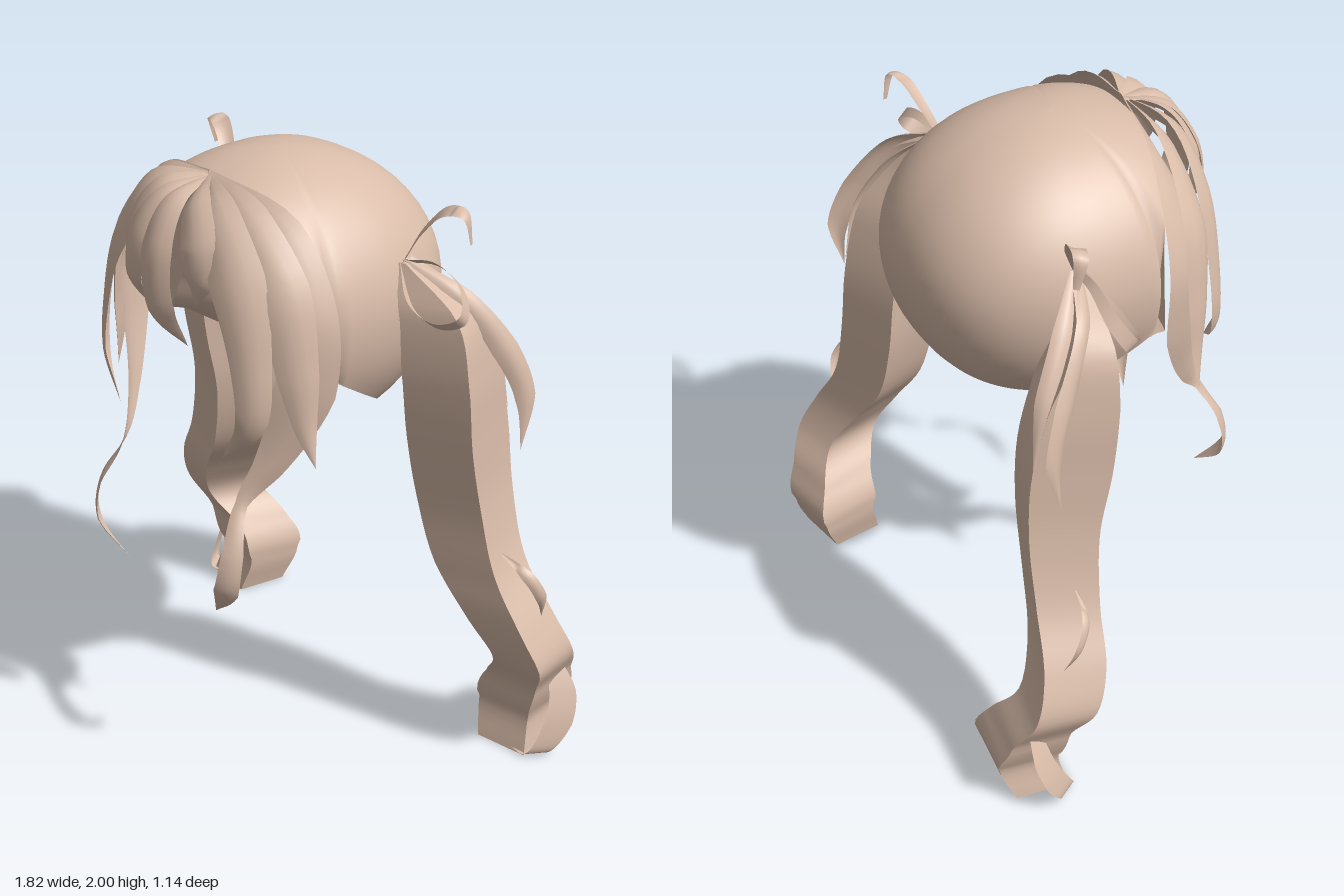
import * as THREE from 'three';

const V = (a) => new THREE.Vector3(...a);
const hair = new THREE.MeshStandardMaterial({ color: 0xd9bca9, side: THREE.DoubleSide });
hair.name = 'hair';

// Surface through rows of points; repeated points inside a row make sharp edges
function skin(name, rows) {
  const n = rows[0].length, pos = [], idx = [];
  rows.forEach((r) => r.forEach((p) => pos.push(p.x, p.y, p.z)));
  for (let i = 0; i < rows.length - 1; i++)
    for (let j = 0; j < n - 1; j++) {
      const a = i * n + j, b = a + n;
      idx.push(a, b, a + 1, a + 1, b, b + 1);
    }
  const g = new THREE.BufferGeometry();
  g.setAttribute('position', new THREE.Float32BufferAttribute(pos, 3));
  g.setIndex(idx);
  g.computeVertexNormals();
  const m = new THREE.Mesh(g, hair);
  m.name = name;
  return m;
}

// Tapered lock along a curve, bulging away from the head; s = -1 mirrors it
function lock(name, pts, widths, s = 1, { bulge = 0.16, side = null, steps = 28 } = {}) {
  const curve = new THREE.CatmullRomCurve3(pts.map((p) => V([p[0] * s, p[1], p[2]])));
  const rows = [];
  for (let i = 0; i <= steps; i++) {
    const t = i / steps, p = curve.getPoint(t), tan = curve.getTangent(t);
    const f = t * (widths.length - 1), k = Math.min(Math.floor(f), widths.length - 2);
    const w = THREE.MathUtils.lerp(widths[k], widths[k + 1], f - k);
    const out = new THREE.Vector3(p.x, 0.3 * (p.y - 1.55), p.z - 0.05);
    const across = side ? V([side[0] * s, side[1], side[2]]) : tan.clone().cross(out);
    across.normalize();
    const up = across.clone().cross(tan).normalize();
    if (up.dot(out) < 0) up.negate();
    rows.push([-1, -0.5, 0, 0.5, 1].map((u) => p.clone()
      .addScaledVector(across, u * w / 2)
      .addScaledVector(up, bulge * w * (1 - u * u))));
  }
  return skin(name, rows);
}

// Rounded skull cap, cut by a sloping hem and an open face edge
function addCap(group) {
  const cols = 96, steps = 22, c = V([0, 1.55, 0.05]), q = 2 / 2.3;
  const { clamp } = THREE.MathUtils;
  const point = (phi, th) => {
    const sx = Math.sin(phi), cz = Math.cos(phi), r = Math.sin(th), y = Math.cos(th);
    return new THREE.Vector3(
      0.47 * r * Math.sign(sx) * Math.abs(sx) ** q,
      c.y + (y > 0 ? 0.45 : 0.5) * y,
      c.z + 0.53 * r * Math.sign(cz) * Math.abs(cz) ** q);
  };
  const outside = (p) => {
    const dip = 0.07 * (1 - Math.min(Math.abs(p.x) / 0.3, 1) ** 2);
    const hem = 1.16 + dip + 0.24 * clamp((p.z + 0.17) / 0.37, 0, 1);
    const edge = 0.2 + 0.11 * clamp((p.y - 1.7) / 0.26, 0, 1);
    return p.y < hem || p.z > edge;
  };
  const rows = Array.from({ length: steps + 1 }, () => []);
  for (let j = 0; j <= cols; j++) {
    const phi = (j / cols) * Math.PI * 2;
    let th = 0.05;
    while (th < 3 && !outside(point(phi, th))) th += 0.003;
    for (let i = 0; i <= steps; i++) rows[i].push(point(phi, th * i / steps));
  }
  group.add(skin('cap', rows));

  // Split the rim into the hem and the face edge, both running from left to right
  const rim = rows[steps], half = cols / 2;
  const hem = rim.filter((p) => p.y < 1.4);
  const face = [
    ...rim.slice(0, half).filter((p) => p.y >= 1.4).reverse(),
    ...rim.slice(half).filter((p) => p.y >= 1.4).reverse()];
  // Arch above the forehead, where the lining meets the front of the cap
  const archPoints = [[0.46, 1.4, 0.2], [0.31, 1.41, 0.24], [0.165, 1.6, 0.27], [0, 1.66, 0.28],
    [-0.165, 1.6, 0.27], [-0.31, 1.41, 0.24], [-0.46, 1.4, 0.2]];
  const arch = new THREE.CatmullRomCurve3(archPoints.map(V));
  const fill = (name, border, lift) => {
    const n = border.length - 1;
    group.add(skin(name, Array.from({ length: 9 }, (_, i) => border.map((p, k) => {
      const v = p.clone().lerp(arch.getPoint(k / n), i / 8);
      v.y += lift * Math.sin(Math.PI * i / 8) * Math.sin(Math.PI * k / n);
      return v;
    }))));
  };
  fill('lining', hem, 0.06);
  fill('forehead', face, 0);
}

// Thick square-sectioned pigtail with a wavy end
function pigtail(s) {
  // centre, then half width, half depth and twist
  const path = [
    [0.43, 1.71, -0.1], [0.55, 1.58, -0.13], [0.57, 1.38, -0.18], [0.57, 1.15, -0.22],
    [0.58, 0.93, -0.25], [0.64, 0.7, -0.27], [0.75, 0.52, -0.31], [0.8, 0.38, -0.37],
    [0.73, 0.26, -0.43], [0.685, 0.13, -0.45], [0.71, 0, -0.41]];
  const size = [
    [0.02, 0.02, 0.3], [0.1, 0.06, 0.35], [0.115, 0.11, 0.35], [0.115, 0.125, 0.33],
    [0.115, 0.11, 0.32], [0.11, 0.1, 0.3], [0.1, 0.1, 0.25], [0.09, 0.1, 0.2],
    [0.1, 0.1, 0.15], [0.1, 0.1, 0.15], [0.095, 0.09, 0.15]];
  const pc = new THREE.CatmullRomCurve3(path.map(V)), sc = new THREE.CatmullRomCurve3(size.map(V));
  const rows = [];
  const corners = [[-1, 1], [1, 1], [1, -1], [-1, -1]];
  for (let i = 0; i <= 50; i++) {
    const p = pc.getPoint(i / 50), h = sc.getPoint(i / 50);
    const ring = corners.map(([a, b]) => {
      const x = a * h.x, z = b * h.y, co = Math.cos(h.z), si = Math.sin(h.z);
      return new THREE.Vector3(s * (p.x + x * co + z * si), p.y, p.z - x * si + z * co);
    });
    rows.push([0, 1, 1, 2, 2, 3, 3, 0].map((k) => ring[k]));
  }
  const end = rows[rows.length - 1];
  const mid = end[0].clone().add(end[3]).multiplyScalar(0.5);
  rows.push(end.map((p) => p.clone()), end.map(() => mid));
  return skin('pigtail', rows);
}

export function createModel() {
  const group = new THREE.Group();
  group.name = 'hairstyle';
  addCap(group);
  const crown = [0, 1.96, 0.31];

  // Uneven centre fringe
  group.add(lock('centreFringe', [crown, [0.01, 1.92, 0.45], [0.02, 1.78, 0.53], [0.05, 1.6, 0.54], [0.1, 1.48, 0.48]],
    [0.03, 0.1, 0.14, 0.12, 0]));
  group.add(lock('centreFringe', [crown, [-0.04, 1.92, 0.44], [-0.09, 1.8, 0.51], [-0.11, 1.66, 0.52], [-0.09, 1.56, 0.48]],
    [0.03, 0.09, 0.13, 0.11, 0]));

  for (const s of [1, -1]) {
    // Bangs, from the middle to the temple
    group.add(lock('innerBang', [crown, [0.08, 1.92, 0.42], [0.15, 1.81, 0.47], [0.16, 1.71, 0.48], [0.13, 1.62, 0.47]],
      [0.03, 0.11, 0.14, 0.1, 0], s));
    group.add(lock('sideBang', [crown, [0.15, 1.9, 0.4], [0.28, 1.73, 0.43], [0.35, 1.5, 0.44], [0.36, 1.3, 0.45], [0.26, 1.16, 0.48]],
      [0.03, 0.15, 0.18, 0.13, 0.1, 0], s));
    group.add(lock('outerBang', [crown, [0.2, 1.89, 0.34], [0.38, 1.7, 0.34], [0.44, 1.45, 0.33], [0.465, 1.28, 0.32], [0.5, 1.16, 0.31]],
      [0.03, 0.15, 0.17, 0.13, 0.07, 0], s));
    // Temple panel running down into a long curled lock
    group.add(lock('templeLock', [crown, [0.3, 1.85, 0.28], [0.43, 1.62, 0.28], [0.42, 1.37, 0.29], [0.35, 1.14, 0.36],
      [0.3, 1.0, 0.44], [0.34, 0.86, 0.51], [0.33, 0.73, 0.53], [0.23, 0.61, 0.49]],
    [0.04, 0.14, 0.18, 0.2, 0.11, 0.04, 0.07, 0.08, 0], s, { bulge: 0.1, steps: 48 }));

    group.add(pigtail(s));
    // Loose locks over the pigtail
    group.add(lock('pigtailLock', [[0.44, 1.72, -0.1], [0.6, 1.63, -0.18], [0.69, 1.45, -0.29], [0.73, 1.28, -0.35], [0.74, 1.11, -0.33]],
      [0.02, 0.07, 0.09, 0.07, 0], s, { side: [0.3, 0.25, -0.9] }));
    group.add(lock('pigtailLock', [[0.44, 1.72, -0.12], [0.55, 1.6, -0.22], [0.62, 1.42, -0.32], [0.64, 1.2, -0.37]],
      [0.02, 0.06, 0.06, 0], s));
    group.add(lock('smallCurl', [[0.72, 0.76, -0.27], [0.83, 0.71, -0.29], [0.86, 0.63, -0.33], [0.83, 0.53, -0.37]],
      [0, 0.04, 0.04, 0], s, { side: [0.3, 0.4, -0.8] }));
    group.add(lock('endCurl', [[0.8, 0.32, -0.46], [0.86, 0.22, -0.46], [0.88, 0.11, -0.42], [0.85, 0.015, -0.36], [0.78, 0.01, -0.36]],
      [0.06, 0.09, 0.1, 0.08, 0.07], s, { bulge: 0, side: [0.5, 0, -0.8] }));

    // Looped strands around the tie
    group.add(lock('upperLoop', [[0.43, 1.71, -0.1], [0.47, 1.81, -0.14], [0.54, 1.885, -0.17], [0.6, 1.885, -0.19], [0.61, 1.79, -0.21]],
      [0.03, 0.05, 0.06, 0.05, 0.02], s, { bulge: 0.1, side: [0.4, -0.25, 0.75] }));
    group.add(lock('lowerLoop', [[0.43, 1.71, -0.1], [0.56, 1.73, -0.12], [0.67, 1.68, -0.12], [0.715, 1.61, -0.08],
      [0.65, 1.58, -0.04], [0.53, 1.61, -0.04], [0.43, 1.71, -0.09]],
    [0.02, 0.03, 0.045, 0.05, 0.045, 0.04, 0.02], s, { bulge: 0, side: [0.1, 0.6, 0.7], steps: 40 }));
  }
  return group;
}
